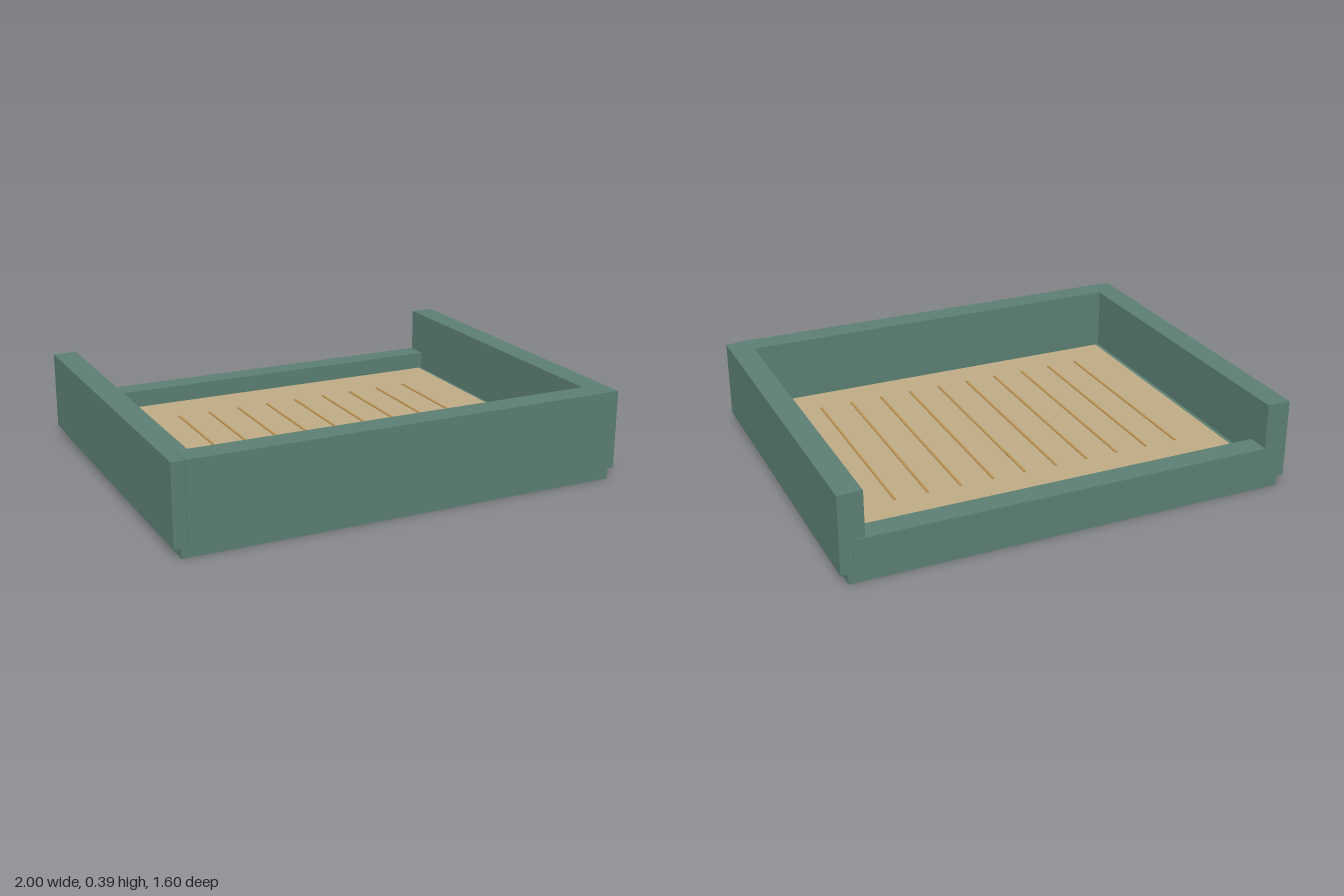
import * as THREE from 'three';

export function createModel() {
  const tray = new THREE.Group();
  tray.name = 'tray';

  const material = (name, color) => {
    const m = new THREE.MeshStandardMaterial({ color });
    m.name = name;
    return m;
  };
  const green = material('mutedGreen', 0x5c7f73);
  const tan = material('tan', 0xbdab84);
  const amber = material('amber', 0xba9252);

  // Box given by its extents on each axis
  const box = (name, mat, [x0, x1], [y0, y1], [z0, z1]) => {
    const mesh = new THREE.Mesh(new THREE.BoxGeometry(x1 - x0, y1 - y0, z1 - z0), mat);
    mesh.position.set((x0 + x1) / 2, (y0 + y1) / 2, (z0 + z1) / 2);
    mesh.name = name;
    tray.add(mesh);
  };

  // Base slab, set in below the side walls
  box('base', green, [-0.97, 0.97], [0, 0.11], [-0.795, 0.795]);

  // Tall side walls
  box('leftWall', green, [0.895, 1], [0.045, 0.39], [-0.795, 0.795]);
  box('rightWall', green, [-1, -0.895], [0.045, 0.39], [-0.795, 0.795]);

  // Tall front wall and low back wall, slightly proud of the side walls
  box('frontWall', green, [-0.945, 0.945], [0.045, 0.392], [0.69, 0.8]);
  box('backWall', green, [-0.945, 0.945], [0.045, 0.19], [-0.8, -0.695]);

  // Inlaid floor panel
  box('floorPanel', tan, [-0.867, 0.867], [0.1, 0.12], [-0.672, 0.668]);

  // Thin ribs running front to back
  for (let i = 0; i < 10; i++) {
    const x = -0.665 + i * 0.146;
    box('floorRib', amber, [x - 0.005, x + 0.005], [0.119, 0.125], [-0.45, 0.51]);
  }

  return tray;
}
